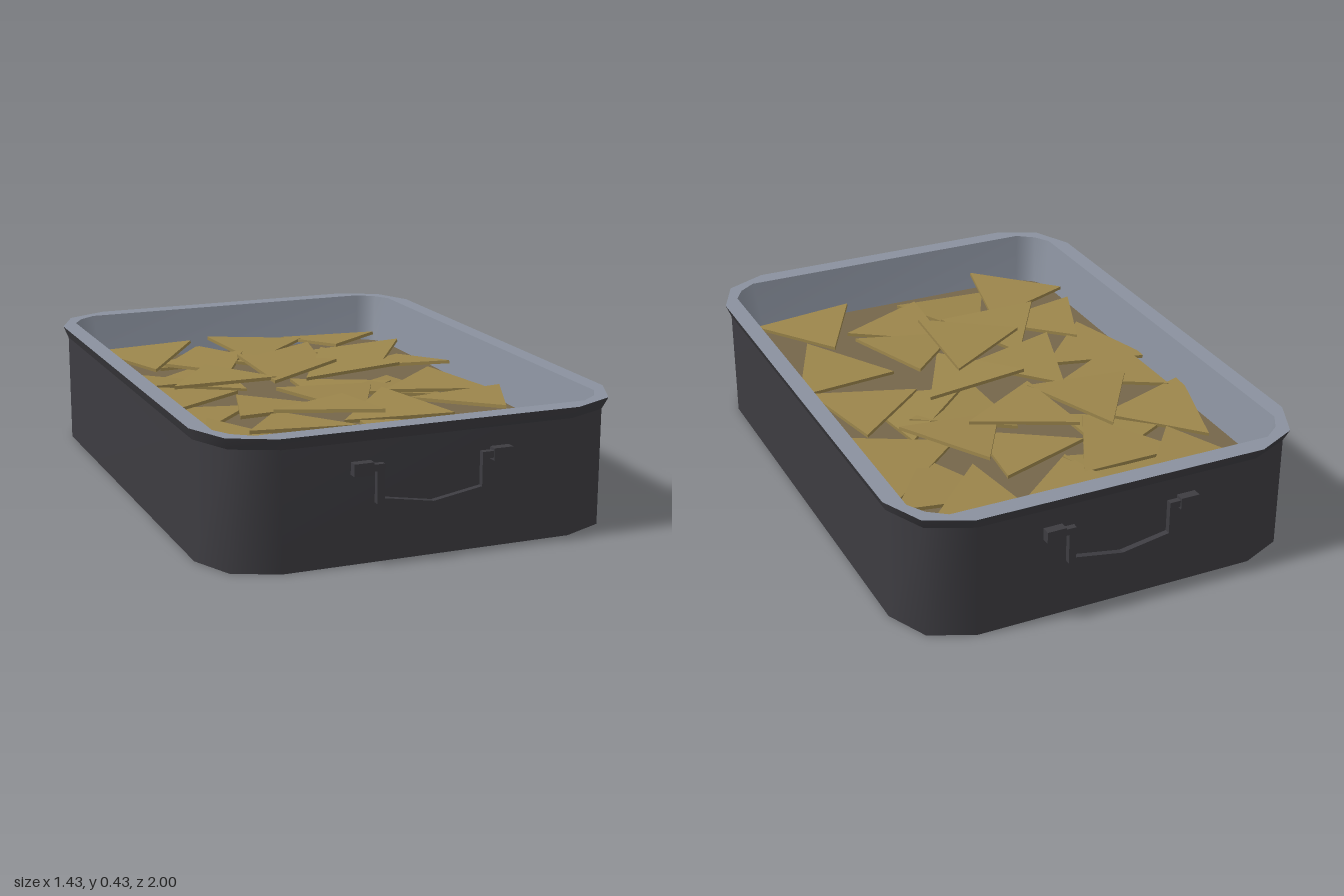
import * as THREE from 'three';

const mat = (name, color, extra = {}) => new THREE.MeshStandardMaterial({ name, color, ...extra });

// Closed outline of 12 points from the three points of one cut corner
function ring(y, [x1, z1], [x2, z2], [x3, z3]) {
  const q = [[x3, z3], [x2, z2], [x1, z1]];
  const flip = (sx, sz) => q.map(([x, z]) => [x * sx, y, z * sz]);
  return [...flip(1, 1), ...flip(-1, 1).reverse(), ...flip(-1, -1), ...flip(1, -1).reverse()];
}

// Skin over consecutive rings, smooth within one call
function loft(rings) {
  const n = rings[0].length, index = [];
  for (let r = 0; r < rings.length - 1; r++) {
    for (let i = 0; i < n; i++) {
      const j = (i + 1) % n;
      const a = r * n + i, b = r * n + j, c = b + n, d = a + n;
      index.push(a, d, b, b, d, c);
    }
  }
  const g = new THREE.BufferGeometry();
  g.setAttribute('position', new THREE.Float32BufferAttribute(rings.flat(2), 3));
  g.setIndex(index);
  g.computeVertexNormals();
  return g;
}

const centre = (y) => Array.from({ length: 12 }, () => [0, y, 0]);

// Chips: centre x, centre z, heading of one tip in degrees, layer
const CHIPS = [
  [-0.40, -0.73, 98, 1.4], [-0.18, -0.69, 280, 0.4], [-0.21, -0.56, 87, 1], [0.04, -0.74, 229, 1.2],
  [0.36, -0.73, 346, 1.4], [0.42, -0.55, 95, 0.5], [0.09, -0.46, 188, 1.3], [-0.50, -0.38, 255, 0.6],
  [-0.28, -0.42, 300, 0], [-0.28, -0.23, 275, 2], [-0.02, -0.26, 358, 2.5], [0.23, -0.29, 270, 1.7],
  [0.48, -0.33, 172, 0.8], [-0.48, -0.07, 0, 1.2], [-0.49, 0.15, 104, 0.7], [-0.22, 0.14, 257, 1],
  [0.04, 0.12, 87, 1.4], [0.30, 0.00, 290, 0.4], [0.12, -0.08, 240, 0], [0.45, 0.05, 169, 1.1],
  [0.46, 0.33, 84, 1.6], [0.14, 0.38, 283, 1.8], [-0.06, 0.33, 180, 2.4], [-0.24, 0.43, 33, 1.6],
  [-0.45, 0.45, 262, 0.6], [-0.41, 0.69, 71, 1.3], [0.08, 0.60, 5, 1.1], [0.39, 0.74, 268, 1],
  [-0.16, 0.67, 267, 0.4],
];

export function createModel() {
  const group = new THREE.Group();
  const dark = mat('dark metal', 0x3d3c41);
  const grey = mat('grey lining', 0x8a919e);
  const chipMat = mat('chip', 0x9b854b, { flatShading: true });
  const bedMat = mat('chip bed', 0x75664a);
  const add = (name, geometry, material, parent = group) => {
    const m = new THREE.Mesh(geometry, material);
    m.name = name;
    parent.add(m);
    return m;
  };

  // Tray shell
  const wall = [[0.49, 0.97], [0.635, 0.905], [0.70, 0.76]];
  const lip = [[0.505, 0.99], [0.65, 0.92], [0.715, 0.775]];
  const opening = [[0.56, 0.925], [0.62, 0.88], [0.655, 0.82]];
  const inside = [[0.54, 0.885], [0.60, 0.84], [0.627, 0.79]];
  const bedY = 0.255;
  add('outerWall', loft([ring(0, ...wall), ring(0.39, ...wall)]), dark);
  add('flaredLip', loft([ring(0.39, ...wall), ring(0.43, ...lip)]), dark);
  add('base', loft([centre(0), ring(0, ...wall)]), dark);
  add('rim', loft([ring(0.43, ...lip), ring(0.43, ...opening)]), grey);
  add('innerWall', loft([ring(0.43, ...opening), ring(bedY, ...inside)]), grey);
  add('chipBed', loft([ring(bedY, ...inside), centre(bedY)]), bedMat);

  // Loose triangular chips, each tipped a little
  const chips = new THREE.Group();
  chips.name = 'chips';
  group.add(chips);
  const chipGeo = new THREE.CylinderGeometry(0.217, 0.217, 0.012, 3);
  CHIPS.forEach(([x, z, heading, layer], i) => {
    const chip = add('chip', chipGeo, chipMat, chips);
    chip.position.set(x, 0.268 + layer * 0.025, z);
    chip.rotation.set(
      0.07 * Math.sin(i * 2.4 + 1),
      THREE.MathUtils.degToRad(90 - heading),
      0.07 * Math.cos(i * 3.7),
    );
  });

  // Bail handle bar: outer edge there, inner edge back
  const half = [[0.21, 0.32], [0.165, 0.32], [0.165, 0.21], [0, 0.182]];
  const under = [[0, 0.16], [0.19, 0.194], [0.19, 0.298], [0.21, 0.298]];
  const mirror = (pts) => pts.filter(([x]) => x > 0).map(([x, y]) => [-x, y]).reverse();
  const outline = [...half, ...mirror(half), ...mirror(under), ...under];
  const barGeo = new THREE.ExtrudeGeometry(
    new THREE.Shape(outline.map(([x, y]) => new THREE.Vector2(x, y))),
    { depth: 0.02, bevelEnabled: false },
  );
  const mountGeo = new THREE.BoxGeometry(0.065, 0.04, 0.035);

  // One handle on each short end
  for (const [name, turn] of [['frontHandle', 0], ['backHandle', Math.PI]]) {
    const handle = new THREE.Group();
    handle.name = name;
    handle.rotation.y = turn;
    add('handleBar', barGeo, dark, handle).position.z = 0.975;
    for (const side of [-1, 1]) {
      add('handleMount', mountGeo, dark, handle).position.set(side * 0.235, 0.309, 0.9825);
    }
    group.add(handle);
  }
  return group;
}
